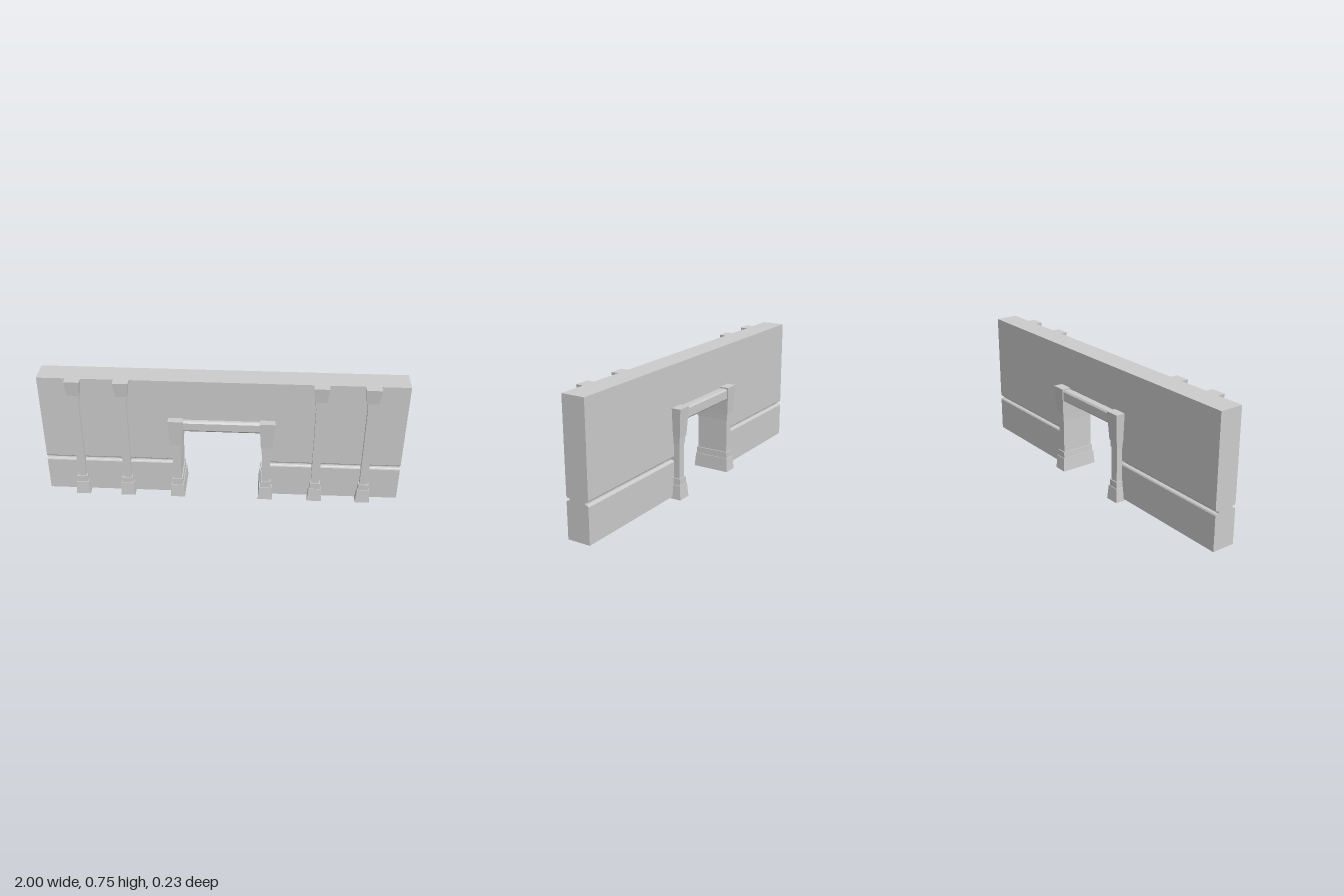
import * as THREE from 'three';

const material = new THREE.MeshStandardMaterial({ color: 0xcccccc, flatShading: true });

function addMesh(group, geometry, name) {
  const mesh = new THREE.Mesh(geometry, material);
  mesh.name = name;
  group.add(mesh);
  return mesh;
}

// Extrude a [z, y] outline along x between x0 and x1
function extrudeAlongX(points, x0, x1) {
  const shape = new THREE.Shape(points.map(([z, y]) => new THREE.Vector2(z, y)));
  const geo = new THREE.ExtrudeGeometry(shape, { depth: x1 - x0, bevelEnabled: false });
  geo.rotateY(-Math.PI / 2);
  geo.translate(x1, 0, 0);
  return geo;
}

// Stack rectangular cross-sections: rows of [y, half width, front z, back z]
function stackedPost(rows) {
  const pos = [];
  const rings = rows.map(([y, w, f, b]) => [[-w, y, f], [w, y, f], [w, y, b], [-w, y, b]]);
  const quad = (a, b, c, d) => pos.push(...a, ...b, ...c, ...a, ...c, ...d);
  for (let i = 0; i < rings.length - 1; i++) {
    const lo = rings[i], hi = rings[i + 1];
    for (let j = 0; j < 4; j++) {
      const k = (j + 1) % 4;
      quad(lo[j], lo[k], hi[k], hi[j]);
    }
  }
  const first = rings[0], last = rings[rings.length - 1];
  quad(first[3], first[2], first[1], first[0]);
  quad(last[0], last[1], last[2], last[3]);
  const geo = new THREE.BufferGeometry();
  geo.setAttribute('position', new THREE.Float32BufferAttribute(pos, 3));
  geo.computeVertexNormals();
  return geo;
}

// Flared foot, slim shaft, collar and flared capital; back(z) gives the rear depth
function postRows(neckY, capY, topY, back) {
  return [
    [0, 0.041, 0.112], [0.08, 0.035, 0.106],
    [0.08, 0.031, 0.102], [0.117, 0.029, 0.102],
    [0.117, 0.023, 0.096], [neckY, 0.023, 0.096],
    [neckY, 0.027, 0.1], [capY, 0.029, 0.1],
    [capY, 0.032, 0.105], [topY, 0.042, 0.115],
  ].map(([y, w, f]) => [y, w, f, back(f)]);
}

export function createModel() {
  const model = new THREE.Group();
  model.name = 'doorwayWall';

  const front = 0.073, back = -0.06, bottom = 0.012, top = 0.748;

  // Side walls with a horizontal groove on both faces
  const groove = [[0, 0.208], [0.003, 0.214], [0.009, 0.218], [0.02, 0.218],
    [0.02, 0.231], [0.009, 0.231], [0.003, 0.235], [0, 0.241]];
  const outline = [
    [back, bottom], [front, bottom],
    ...groove.map(([d, y]) => [front - d, y]),
    [front, top], [back, top],
    ...groove.slice().reverse().map(([d, y]) => [back + d, y]),
  ];
  addMesh(model, extrudeAlongX(outline, -1, -0.25), 'rightWall');
  addMesh(model, extrudeAlongX(outline, 0.25, 1), 'leftWall');

  // Wall above the doorway
  addMesh(model, extrudeAlongX(
    [[back, 0.447], [front, 0.447], [front, top], [back, top]], -0.25, 0.25), 'wallAboveDoor');

  // Lintel with chamfered edges, projecting from both faces
  addMesh(model, extrudeAlongX([
    [-0.1, 0.442], [0.09, 0.442], [0.097, 0.452], [0.097, 0.496], [0.088, 0.507],
    [-0.098, 0.507], [-0.105, 0.498], [-0.105, 0.45],
  ], -0.25, 0.25), 'lintel');

  // Door jambs run through the whole wall
  const jamb = stackedPost(postRows(0.312, 0.353, 0.515, f => 0.001 - f));
  [[-0.254, 'rightDoorJamb'], [0.248, 'leftDoorJamb']].forEach(([x, name]) => {
    addMesh(model, jamb, name).position.x = x;
  });

  // Tall pilasters on the front face, set into the wall
  const pilaster = stackedPost(postRows(0.617, 0.66, top, () => 0.03));
  [-0.803, -0.542, 0.529, 0.803].forEach((x, i) => {
    addMesh(model, pilaster, 'pilaster' + (i + 1)).position.x = x;
  });

  return model;
}
